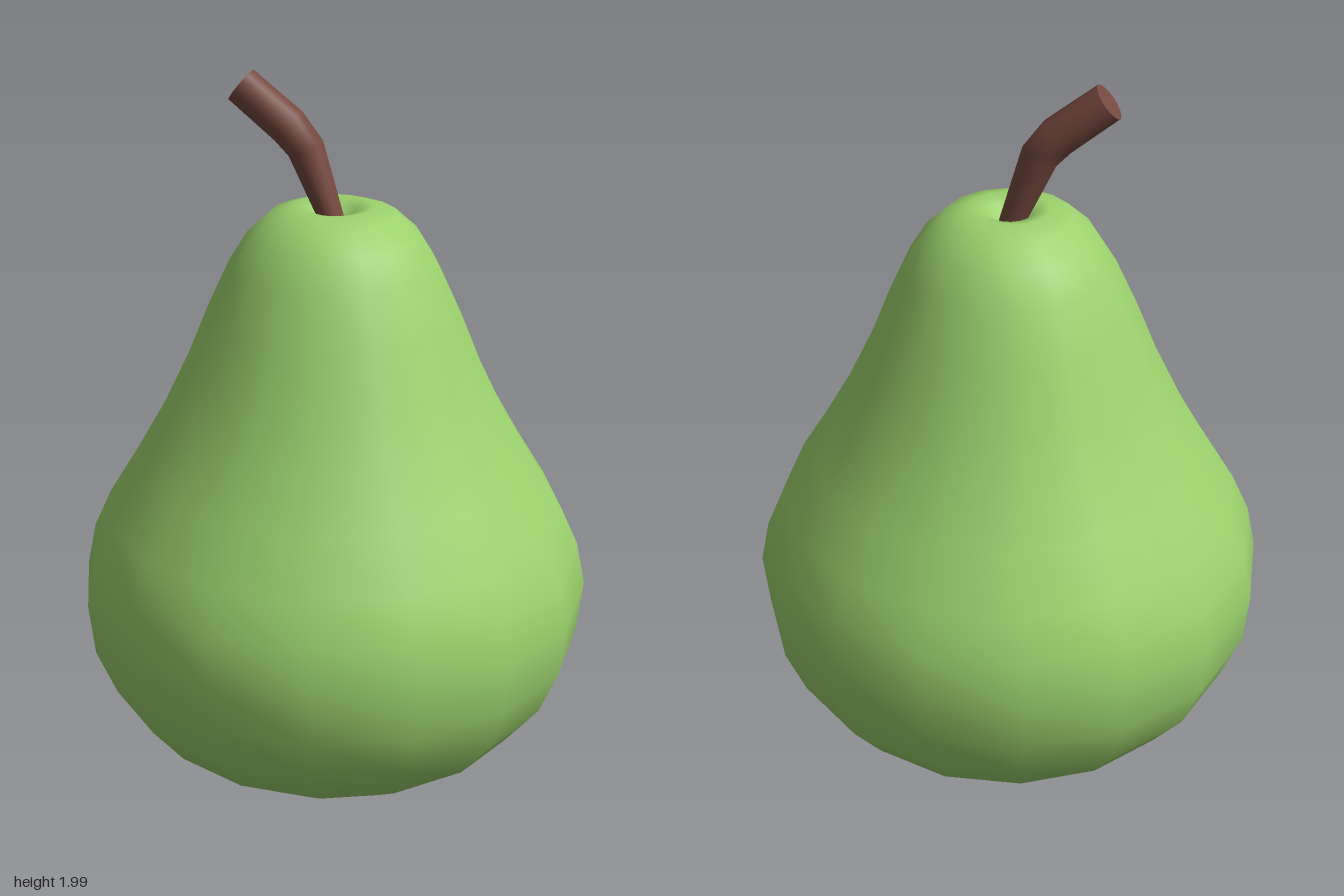
import * as THREE from 'three';
import { mergeVertices } from 'three/addons/utils/BufferGeometryUtils.js';

const skin = new THREE.MeshStandardMaterial({ color: 0x9bd16c });
skin.name = 'pear green';
const wood = new THREE.MeshStandardMaterial({ color: 0x75483e });
wood.name = 'stem brown';

// Pear body: lathe profile of [radius, height], ending in a dimple round the stem
function makeBody() {
  const profile = [
    [0, 0.005], [0.205, 0.022], [0.4, 0.085], [0.54, 0.18], [0.635, 0.3], [0.69, 0.435],
    [0.705, 0.58], [0.68, 0.7], [0.63, 0.81], [0.547, 0.945], [0.47, 1.08], [0.395, 1.235],
    [0.34, 1.37], [0.28, 1.5], [0.23, 1.58], [0.17, 1.635], [0.105, 1.657], [0.06, 1.645],
    [0.03, 1.61], [0, 1.6],
  ].map(([r, y]) => new THREE.Vector2(r, y));
  const body = new THREE.Mesh(new THREE.LatheGeometry(profile, 16), skin);
  body.name = 'body';
  return body;
}

// Bent stem that widens upward, with a flat cut end
function makeStem() {
  const sides = 16;
  const rings = [
    [0.005, 1.59, 0, 0.031], [-0.075, 1.805, -0.015, 0.05],
    [-0.12, 1.86, -0.022, 0.053], [-0.245, 1.96, -0.047, 0.051],
  ].map(([x, y, z, r]) => ({ p: new THREE.Vector3(x, y, z), r }));
  const up = new THREE.Vector3(0, 1, 0);
  const turns = rings.map((ring, i) => {
    const before = rings[Math.max(i - 1, 0)].p;
    const after = rings[Math.min(i + 1, rings.length - 1)].p;
    return new THREE.Quaternion().setFromUnitVectors(up, after.clone().sub(before).normalize());
  });

  // Place each ring of a unit cylinder across the path
  let geo = new THREE.CylinderGeometry(1, 1, 1, sides, rings.length - 1, true);
  const pos = geo.attributes.position;
  const v = new THREE.Vector3();
  for (let i = 0; i < pos.count; i++) {
    const k = Math.round((pos.getY(i) + 0.5) * (rings.length - 1));
    v.set(pos.getX(i), 0, pos.getZ(i)).multiplyScalar(rings[k].r);
    v.applyQuaternion(turns[k]).add(rings[k].p);
    pos.setXYZ(i, v.x, v.y, v.z);
  }
  geo.deleteAttribute('uv');
  geo.deleteAttribute('normal');
  geo = mergeVertices(geo, 1e-5);
  geo.computeVertexNormals();
  const shaft = new THREE.Mesh(geo, wood);
  shaft.name = 'stemShaft';

  const tip = rings[rings.length - 1];
  const capGeo = new THREE.CircleGeometry(tip.r, sides).rotateX(-Math.PI / 2);
  const cap = new THREE.Mesh(capGeo, wood);
  cap.name = 'stemCutEnd';
  cap.quaternion.copy(turns[rings.length - 1]);
  cap.position.copy(tip.p);

  const stem = new THREE.Group();
  stem.name = 'stem';
  stem.add(shaft, cap);
  return stem;
}

export function createModel() {
  const pear = new THREE.Group();
  pear.name = 'pear';
  pear.add(makeBody(), makeStem());
  return pear;
}
